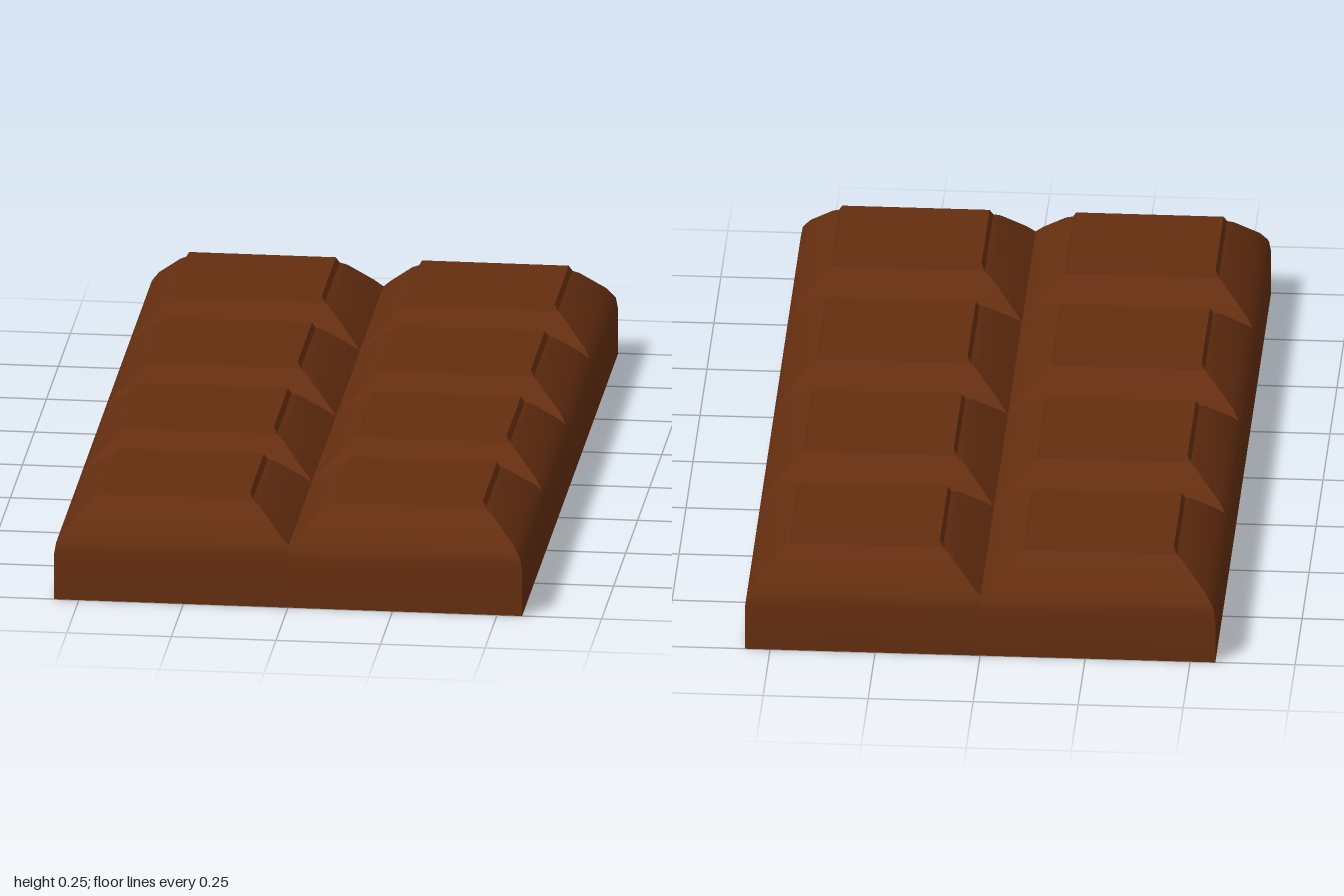
import * as THREE from 'three';
import { toCreasedNormals } from 'three/addons/utils/BufferGeometryUtils.js';

const HALF_W = 0.56, COLS = 2, ROWS = 4, PITCH_Z = 0.5;
const GROOVE = 0.15; // height of the groove floor

// Rings of one tile: [height, inset on the bar's outer edge, inset on a groove edge]
const RINGS = [
  [0, 0, 0], [0.11, 0, 0], [0.14, 0.005, 0], [GROOVE, 0.011, 0], [0.17, 0.025, 0.02],
  [0.225, 0.083, 0.078], [0.235, 0.098, 0.095], [0.25, 0.106, 0.103],
];

// Lofted tile; walls shared with a neighbour below the groove are left out
function tileGeometry(col, row) {
  const x0 = -HALF_W + col * HALF_W, z0 = -1 + row * PITCH_Z;
  // edge order: front (+z), right (+x), back (-z), left (-x)
  const outer = [row === ROWS - 1, col === COLS - 1, row === 0, col === 0];
  const rings = RINGS.map(([y, out, groove]) => {
    const [f, r, b, l] = outer.map((o) => (o ? out : groove));
    const xa = x0 + l, xb = x0 + HALF_W - r, za = z0 + b, zb = z0 + PITCH_Z - f;
    return [[xa, y, zb], [xb, y, zb], [xb, y, za], [xa, y, za]];
  });
  const pos = [];
  const quad = (a, b, c, d) => pos.push(...a, ...b, ...c, ...a, ...c, ...d);
  for (let k = 0; k < rings.length - 1; k++) {
    for (let i = 0; i < 4; i++) {
      if (!outer[i] && RINGS[k + 1][0] <= GROOVE) continue;
      const j = (i + 1) % 4;
      quad(rings[k][i], rings[k][j], rings[k + 1][j], rings[k + 1][i]);
    }
  }
  quad(...rings[rings.length - 1]);
  const geo = new THREE.BufferGeometry();
  geo.setAttribute('position', new THREE.Float32BufferAttribute(pos, 3));
  return toCreasedNormals(geo, 0.45);
}

export function createModel() {
  const bar = new THREE.Group();
  bar.name = 'chocolateBar';
  const chocolate = new THREE.MeshStandardMaterial({ color: 0x652e10 });

  // Grid of bevelled tiles
  for (let col = 0; col < COLS; col++) {
    for (let row = 0; row < ROWS; row++) {
      const tile = new THREE.Mesh(tileGeometry(col, row), chocolate);
      tile.name = `tile${col + 1}_${row + 1}`;
      bar.add(tile);
    }
  }

  // Flat underside
  const underside = new THREE.Mesh(new THREE.PlaneGeometry(HALF_W * 2, ROWS * PITCH_Z), chocolate);
  underside.rotation.x = Math.PI / 2;
  underside.name = 'underside';
  bar.add(underside);
  return bar;
}
